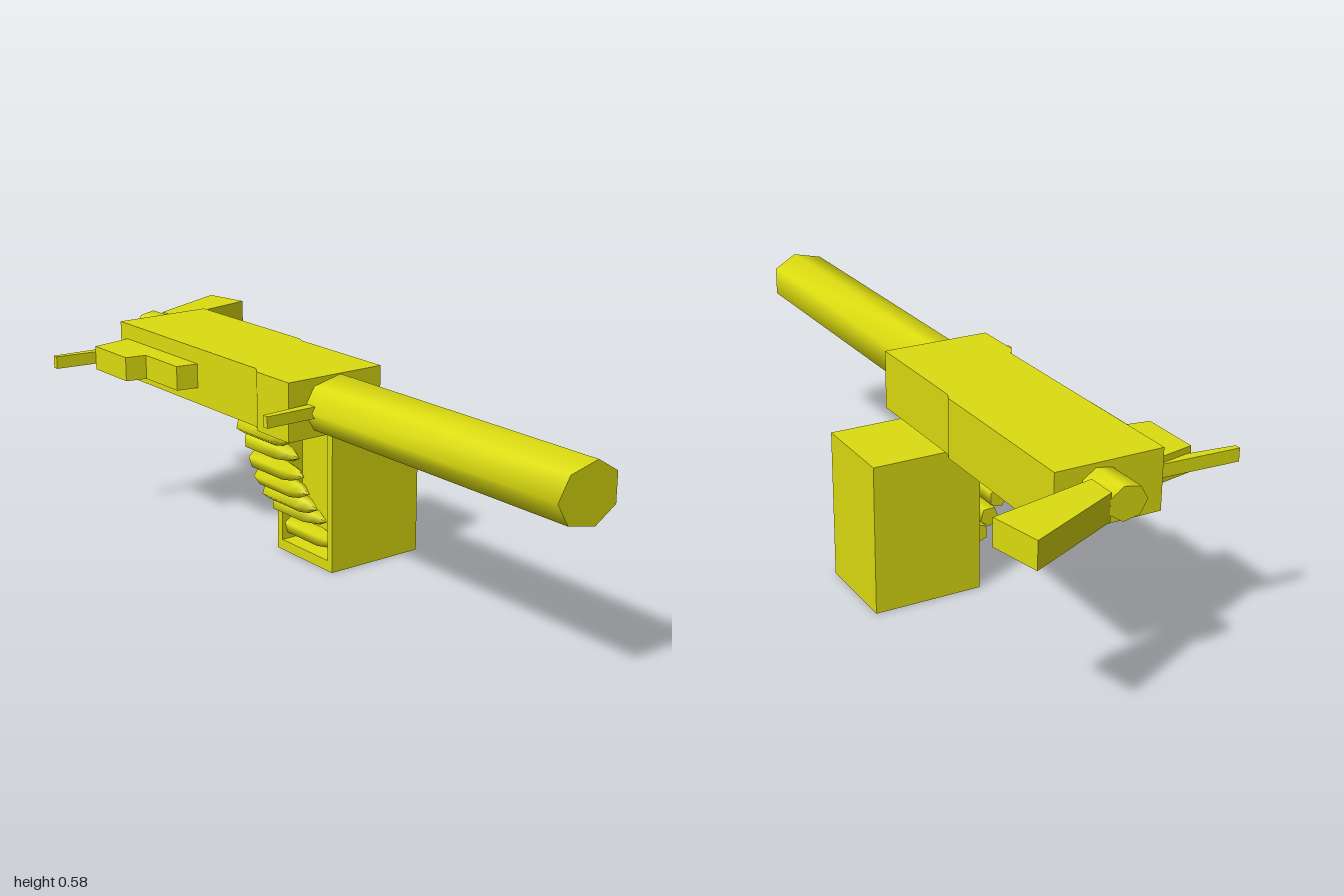
import * as THREE from 'three';
import { toCreasedNormals } from 'three/addons/utils/BufferGeometryUtils.js';

const yellow = new THREE.MeshStandardMaterial({ color: 0xdcdc10 });
yellow.name = 'yellow';

const shapeOf = (points) => new THREE.Shape(points.map(([x, y]) => new THREE.Vector2(x, y)));

// Upright slab from an [x, z] plan, between two heights
function slab(plan, y0, y1) {
  const geo = new THREE.ExtrudeGeometry(shapeOf(plan.map(([x, z]) => [x, -z])), { depth: y1 - y0, bevelEnabled: false });
  return geo.rotateX(-Math.PI / 2).translate(0, y0, 0);
}

// Smooth-sided bar along x from a [z, y] section
function bar(section, x0, x1) {
  const geo = new THREE.ExtrudeGeometry(shapeOf(section.map(([z, y]) => [-z, y])), { depth: x1 - x0, bevelEnabled: false });
  return toCreasedNormals(geo.rotateY(Math.PI / 2).translate(x0, 0, 0), 1.2);
}

export function createModel() {
  const model = new THREE.Group();
  const add = (name, geo, parent = model) => {
    const mesh = new THREE.Mesh(geo, yellow);
    mesh.name = name;
    parent.add(mesh);
    return mesh;
  };

  // Long body, stepped on both sides
  add('body', slab([
    [-0.77, -0.163], [-0.28, -0.163], [-0.255, -0.153], [0.09, -0.153],
    [0.09, 0.147], [-0.05, 0.147], [-0.08, 0.128], [-0.77, 0.128],
  ], 0.42, 0.579));

  // Seven-sided barrel
  add('barrel', bar([
    [0.1, 0.498], [0.065, 0.557], [-0.02, 0.577], [-0.083, 0.539],
    [-0.083, 0.461], [-0.02, 0.422], [0.065, 0.44],
  ], 0.08, 1));

  // Rear hub and splayed handle
  const hub = [];
  for (let i = 0; i < 7; i++) {
    const a = (i / 7) * Math.PI * 2;
    hub.push([-0.042 + 0.052 * Math.cos(a), 0.525 + 0.044 * Math.sin(a)]);
  }
  add('rearHub', bar(hub, -0.882, -0.76));
  add('rearHandle', slab([[-1, -0.342], [-0.863, -0.37], [-0.8, -0.085], [-0.88, -0.085]], 0.489, 0.559));

  // Stepped side housing with its lever
  add('sideHousing', slab([
    [-0.735, 0.12], [-0.708, 0.25], [-0.54, 0.25], [-0.53, 0.19], [-0.37, 0.19], [-0.36, 0.12],
  ], 0.466, 0.534));
  add('sideLever', slab([[-0.732, 0.13], [-0.742, 0.367], [-0.725, 0.367], [-0.706, 0.2], [-0.706, 0.13]], 0.482, 0.517));

  // Peg beside the barrel
  add('frontPeg', slab([[0.095, 0.06], [0.108, 0.24], [0.127, 0.24], [0.126, 0.06]], 0.484, 0.515));

  // Ammunition box with an open front
  const box = new THREE.Group();
  box.name = 'ammunitionBox';
  model.add(box);
  const front = shapeOf([[-0.22, 0], [0.03, 0], [0.03, 0.408], [-0.22, 0.408]]);
  front.holes.push(new THREE.Path([[-0.198, 0.03], [-0.198, 0.395], [0.01, 0.395], [0.01, 0.03]]
    .map(([x, y]) => new THREE.Vector2(x, y))));
  add('boxFrame', new THREE.ExtrudeGeometry(front, { depth: 0.07, bevelEnabled: false }).translate(0, 0, -0.11), box);
  add('boxBack', new THREE.BoxGeometry(0.25, 0.408, 0.23).translate(-0.095, 0.204, -0.225), box);

  // Belt of five-sided cartridges rising from the box
  const belt = new THREE.Group();
  belt.name = 'cartridgeBelt';
  model.add(belt);
  const profile = [[0, -0.2], [0.028, -0.2], [0.028, -0.06], [0.02, -0.02], [0, 0.02]]
    .map(([r, x]) => new THREE.Vector2(r, x));
  const cartridge = toCreasedNormals(new THREE.LatheGeometry(profile, 5), 1.3).rotateZ(-Math.PI / 2);
  [[0.085, 0.394], [0.06, 0.344], [0.045, 0.288], [0.027, 0.237], [0, 0.188], [-0.031, 0.146], [-0.075, 0.07]]
    .forEach(([z, y], i) => {
      const mesh = add('cartridge', cartridge, belt);
      mesh.position.set(0, y, z);
      mesh.rotation.x = 0.35 + i * 0.3;
    });

  return model;
}
